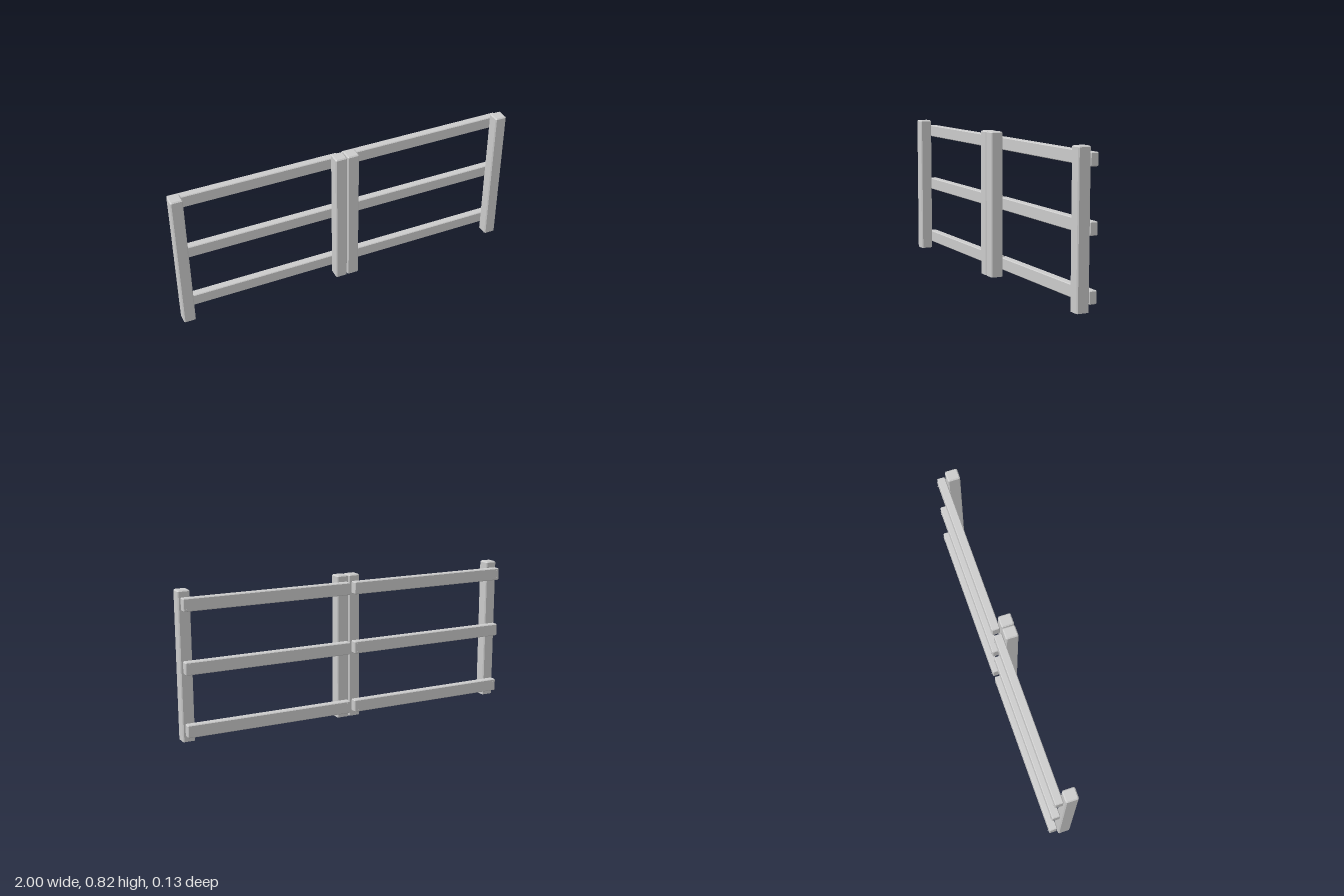
import * as THREE from 'three';

const material = new THREE.MeshStandardMaterial({ color: 0xcccccc, flatShading: true });

// Timber running along +z from 0 to length, with every edge chamfered by c
function timber(w, h, length, c) {
  const x = w / 2, y = h / 2;
  const outline = new THREE.Shape([
    [x, c - y], [x, y - c], [x - c, y], [c - x, y],
    [-x, y - c], [-x, c - y], [c - x, -y], [x - c, -y],
  ].map(([px, py]) => new THREE.Vector2(px, py)));
  const geo = new THREE.ExtrudeGeometry(outline, {
    depth: length - 2 * c, bevelEnabled: true, bevelThickness: c,
    bevelSize: c, bevelOffset: -c, bevelSegments: 1,
  });
  return geo.translate(0, 0, c);
}

function add(parent, geometry, name, x, y, z) {
  const mesh = new THREE.Mesh(geometry, material);
  mesh.name = name;
  mesh.position.set(x, y, z);
  parent.add(mesh);
  return mesh;
}

// Upright post: chamfered top, flat-cut foot
function postGeometry() {
  const c = 0.006, height = 0.825;
  const geo = timber(0.068, 0.071, height + c, c).rotateX(-Math.PI / 2).translate(0, -c, 0);
  const p = geo.attributes.position;
  for (let i = 0; i < p.count; i++) p.setY(i, Math.max(0, p.getY(i)));
  geo.computeVertexNormals();
  return geo;
}

// Nail: short shank with a wider flat head, pointing backwards
function nailGeometry() {
  const profile = [[0, -0.004], [0.0015, -0.004], [0.0015, 0.003], [0.0035, 0.0042], [0.0035, 0.005], [0, 0.005]];
  return new THREE.LatheGeometry(profile.map(([r, y]) => new THREE.Vector2(r, y)), 10).rotateX(-Math.PI / 2);
}

export function createModel() {
  const model = new THREE.Group();
  model.name = 'fence';
  const railLength = 0.972;
  const post = postGeometry();
  const rail = timber(0.045, 0.07, railLength, 0.004).rotateY(Math.PI / 2).translate(-railLength / 2, 0, 0);
  const nail = nailGeometry();

  // Two matching fence panels side by side
  for (const [side, label] of [[-1, 'right'], [1, 'left']]) {
    const panel = new THREE.Group();
    panel.name = `${label}Panel`;
    panel.position.x = side * 0.5;
    model.add(panel);

    for (const end of [-1, 1]) add(panel, post, 'post', end * 0.464, 0, 0.0295);

    // Three rails behind the posts, each nailed twice at both ends
    for (const y of [0.07, 0.415, 0.756]) {
      add(panel, rail, 'rail', 0, y, -0.0345);
      for (const end of [-1, 1])
        for (const dy of [-0.022, 0.022])
          add(panel, nail, 'nail', end * (railLength / 2 - 0.018), y + dy, -0.057);
    }
  }
  return model;
}
